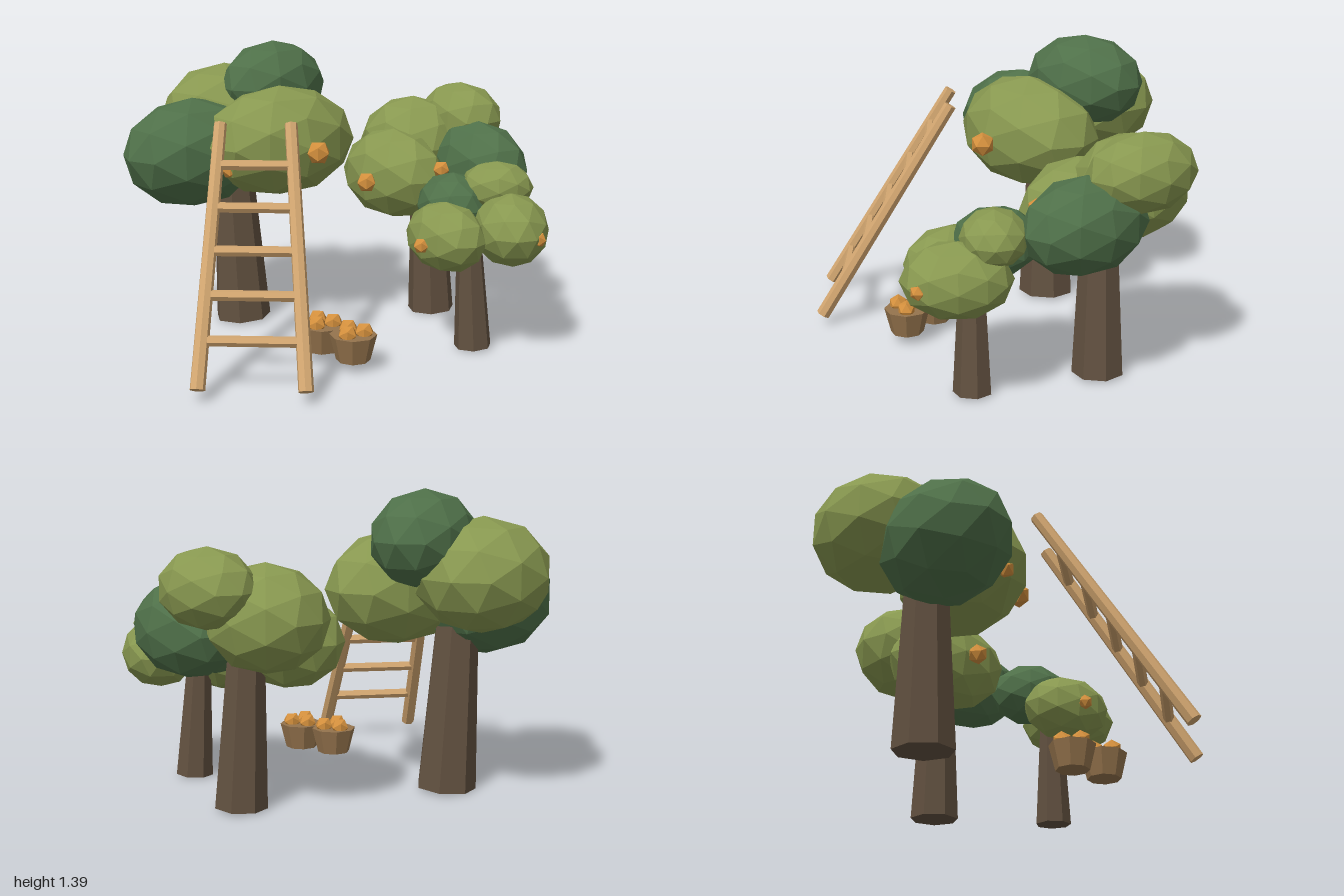
import * as THREE from 'three';

const mat = (name, color) => {
  const m = new THREE.MeshStandardMaterial({ color, flatShading: true });
  m.name = name;
  return m;
};

export function createModel() {
  const lightLeaf = mat('light leaf', 0x889850);
  const darkLeaf = mat('dark leaf', 0x4f7049);
  const bark = mat('bark', 0x625140);
  const ladderWood = mat('ladder wood', 0xd2a670);
  const basketWood = mat('basket wood', 0x95744d);
  const fruit = mat('fruit', 0xd4903d);

  const root = new THREE.Group();
  root.name = 'orchard';

  const group = (name) => {
    const g = new THREE.Group();
    g.name = name;
    root.add(g);
    return g;
  };
  const add = (parent, name, geometry, material) => {
    const m = new THREE.Mesh(geometry, material);
    m.name = name;
    parent.add(m);
    return m;
  };

  // Tapered round bar between two points
  const rod = (parent, name, a, b, r0, r1, sides, material) => {
    const p = new THREE.Vector3(...a), q = new THREE.Vector3(...b);
    const dir = q.clone().sub(p);
    const m = add(parent, name, new THREE.CylinderGeometry(r1, r0, dir.length(), sides), material);
    m.position.copy(p).add(q).multiplyScalar(0.5);
    m.quaternion.setFromUnitVectors(new THREE.Vector3(0, 1, 0), dir.normalize());
  };

  // Faceted egg-shaped leaf clump, turned about the vertical
  const clump = (parent, [pos, size, yaw, material]) => {
    const g = new THREE.IcosahedronGeometry(1.015, 1).scale(...size);
    const m = add(parent, 'leafClump', g, material);
    m.position.set(...pos);
    m.rotation.y = THREE.MathUtils.degToRad(yaw);
  };

  const fruitBall = (parent, pos, r) => {
    add(parent, 'fruit', new THREE.IcosahedronGeometry(r, 0), fruit).position.set(...pos);
  };

  // Trees: trunk ends and radii, leaf clumps [centre, radii, yaw, colour], fruit [centre, radius]
  const trees = [
    {
      name: 'largeTree', base: [-0.465, 0.01, -0.3], top: [-0.505, 0.78, -0.3], r: [0.139, 0.099],
      clumps: [
        [[-0.68, 0.875, -0.18], [0.351, 0.262, 0.274], 41, darkLeaf],
        [[-0.26, 0.935, -0.19], [0.385, 0.262, 0.278], 37, lightLeaf],
        [[-0.565, 1.015, -0.505], [0.334, 0.252, 0.294], 52, lightLeaf],
        [[-0.315, 1.17, -0.46], [0.293, 0.215, 0.223], 53, darkLeaf],
      ],
      fruits: [[[-0.06, 0.92, 0.04], 0.058], [[-0.47, 0.84, 0.04], 0.05]],
    },
    {
      name: 'middleTree', base: [0.493, 0.01, -0.465], top: [0.465, 0.65, -0.46], r: [0.118, 0.085],
      clumps: [
        [[0.29, 0.74, -0.38], [0.301, 0.22, 0.205], -50, lightLeaf],
        [[0.71, 0.79, -0.37], [0.298, 0.212, 0.199], -58, darkLeaf],
        [[0.39, 0.86, -0.6], [0.275, 0.232, 0.25], -40, lightLeaf],
        [[0.63, 0.99, -0.61], [0.253, 0.173, 0.188], -61, lightLeaf],
      ],
      fruits: [[[0.16, 0.73, -0.195], 0.05], [[0.52, 0.8, -0.18], 0.043]],
    },
    {
      name: 'smallTree', base: [0.672, 0.01, 0.1], top: [0.645, 0.5, 0.1], r: [0.088, 0.06],
      clumps: [
        [[0.53, 0.565, 0.19], [0.223, 0.16, 0.157], -56, lightLeaf],
        [[0.825, 0.597, 0.165], [0.235, 0.165, 0.173], -88, lightLeaf],
        [[0.57, 0.67, 0.0], [0.19, 0.152, 0.168], -80, darkLeaf],
        [[0.77, 0.76, 0.01], [0.17, 0.12, 0.145], 0, lightLeaf],
      ],
      fruits: [[[0.415, 0.55, 0.3], 0.037], [[0.935, 0.59, 0.32], 0.036]],
    },
  ];
  for (const t of trees) {
    const g = group(t.name);
    rod(g, 'trunk', t.base, t.top, ...t.r, 7, bark);
    t.clumps.forEach((c) => clump(g, c));
    t.fruits.forEach(([p, r]) => fruitBall(g, p, r));
  }

  // Leaning ladder: two rails closing in towards the top, five rungs
  const ladder = group('ladder');
  const rails = [
    [[-0.528, 0.055, 0.825], [-0.495, 1.08, 0.19]],
    [[-0.07, 0.055, 0.825], [-0.175, 1.08, 0.19]],
  ];
  for (const [a, b] of rails) rod(ladder, 'rail', a, b, 0.034, 0.03, 7, ladderWood);
  for (let i = 0; i < 5; i++) {
    const t = 0.175 + i * 0.165;
    const [a, b] = rails.map(([p, q]) => p.map((v, k) => v + (q[k] - v) * t));
    rod(ladder, 'rung', a, b, 0.024, 0.024, 6, ladderWood);
  }

  // Two baskets, each with three fruits
  for (const [x, z] of [[-0.03, 0.278], [0.115, 0.405]]) {
    const g = group('basket');
    g.position.set(x, 0, z);
    const tub = add(g, 'tub', new THREE.CylinderGeometry(0.108, 0.078, 0.12, 8), basketWood);
    tub.position.y = 0.105;
    for (let i = 0; i < 3; i++) {
      const a = i * Math.PI * 2 / 3;
      fruitBall(g, [0.049 * Math.cos(a), 0.177, 0.049 * Math.sin(a)], 0.045);
    }
  }
  return root;
}
